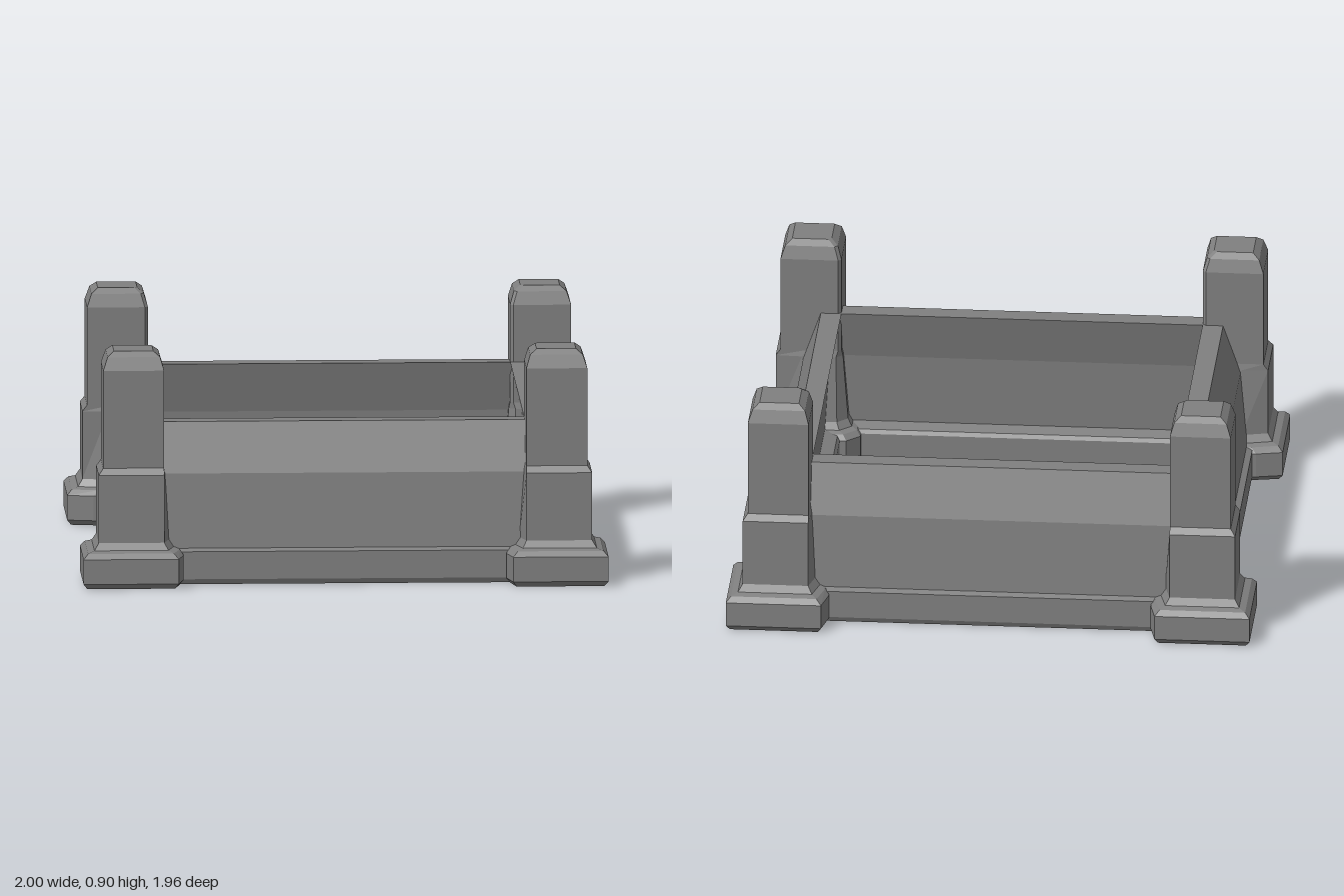
import * as THREE from 'three';

const INSET = 0.02; // the frame is slightly shallower than it is wide

// Skins a list of equal-length rings of [x, y, z]; flat facets.
function loft(rings, { loop = false, caps = false } = {}) {
  const pos = [];
  const tri = (a, b, c) => pos.push(...a, ...b, ...c);
  const n = rings[0].length;
  const spans = loop ? rings.length : rings.length - 1;
  for (let r = 0; r < spans; r++) {
    const lo = rings[r], hi = rings[(r + 1) % rings.length];
    for (let i = 0; i < n; i++) {
      const j = (i + 1) % n;
      tri(lo[i], lo[j], hi[j]);
      tri(lo[i], hi[j], hi[i]);
    }
  }
  if (caps) {
    const bottom = rings[0], top = rings[rings.length - 1];
    for (let i = 1; i < n - 1; i++) {
      tri(bottom[0], bottom[i + 1], bottom[i]);
      tri(top[0], top[i], top[i + 1]);
    }
  }
  const geo = new THREE.BufferGeometry();
  geo.setAttribute('position', new THREE.Float32BufferAttribute(pos, 3));
  geo.computeVertexNormals();
  return geo;
}

// Post sections: y, outer face, inner end of outer face, width behind it, inner chamfer
const POST = [
  [0.00, 0.985, 0.650, 0.630, 0.05],
  [0.02, 1.000, 0.637, 0.615, 0.05],
  [0.115, 1.000, 0.637, 0.615, 0.05],
  [0.135, 0.982, 0.655, 0.630, 0.048],
  [0.143, 0.957, 0.675, 0.650, 0.045],
  [0.17, 0.940, 0.690, 0.665, 0.04],
  [0.43, 0.940, 0.690, 0.685, 0.025],
  [0.455, 0.922, 0.690, 0.690, 0.012],
  [0.83, 0.922, 0.690, 0.690, 0.012],
  [0.88, 0.905, 0.705, 0.705, 0.012],
  [0.90, 0.880, 0.730, 0.730, 0.012],
];

function postGeometry(sx, sz) {
  const rings = POST.map(([y, o, i, w, h]) => {
    const m = o - 0.1;
    const ring = [
      [o, o], [o, i], [m, w], [w + h, w], [w, w + h], [w, m], [i, o],
    ].map(([u, v]) => [sx * u, y, sz * (v - INSET)]);
    return sx * sz < 0 ? ring.reverse() : ring;
  });
  return loft(rings, { caps: true });
}

// Wall cross-section [half width, y]: up the outside, over the top, down the inside
const WALL = [
  [0.875, 0], [0.885, 0.02], [0.885, 0.126], [0.862, 0.136],
  [0.835, 0.42], [0.768, 0.61],
  [0.69, 0.61], [0.735, 0.42], [0.75, 0.145],
  [0.70, 0.13], [0.69, 0.115], [0.69, 0],
];

function wallGeometry() {
  const corners = [[-1, 1], [1, 1], [1, -1], [-1, -1]];
  const rings = WALL.map(([d, y]) =>
    corners.map(([sx, sz]) => [sx * d, y, sz * (d - INSET)]));
  return loft(rings, { loop: true });
}

export function createModel() {
  const group = new THREE.Group();
  group.name = 'squareFrame';
  const material = new THREE.MeshStandardMaterial({ color: 0x808080, flatShading: true });
  const add = (name, geometry) => {
    const mesh = new THREE.Mesh(geometry, material);
    mesh.name = name;
    group.add(mesh);
  };

  // Leaning walls with a plinth, mitred at the corners
  add('walls', wallGeometry());

  // Corner posts with stepped feet and bevelled tops
  for (const [side, sx] of [['Left', 1], ['Right', -1]]) {
    for (const [end, sz] of [['front', 1], ['back', -1]]) {
      add(`${end}${side}Post`, postGeometry(sx, sz));
    }
  }
  return group;
}
